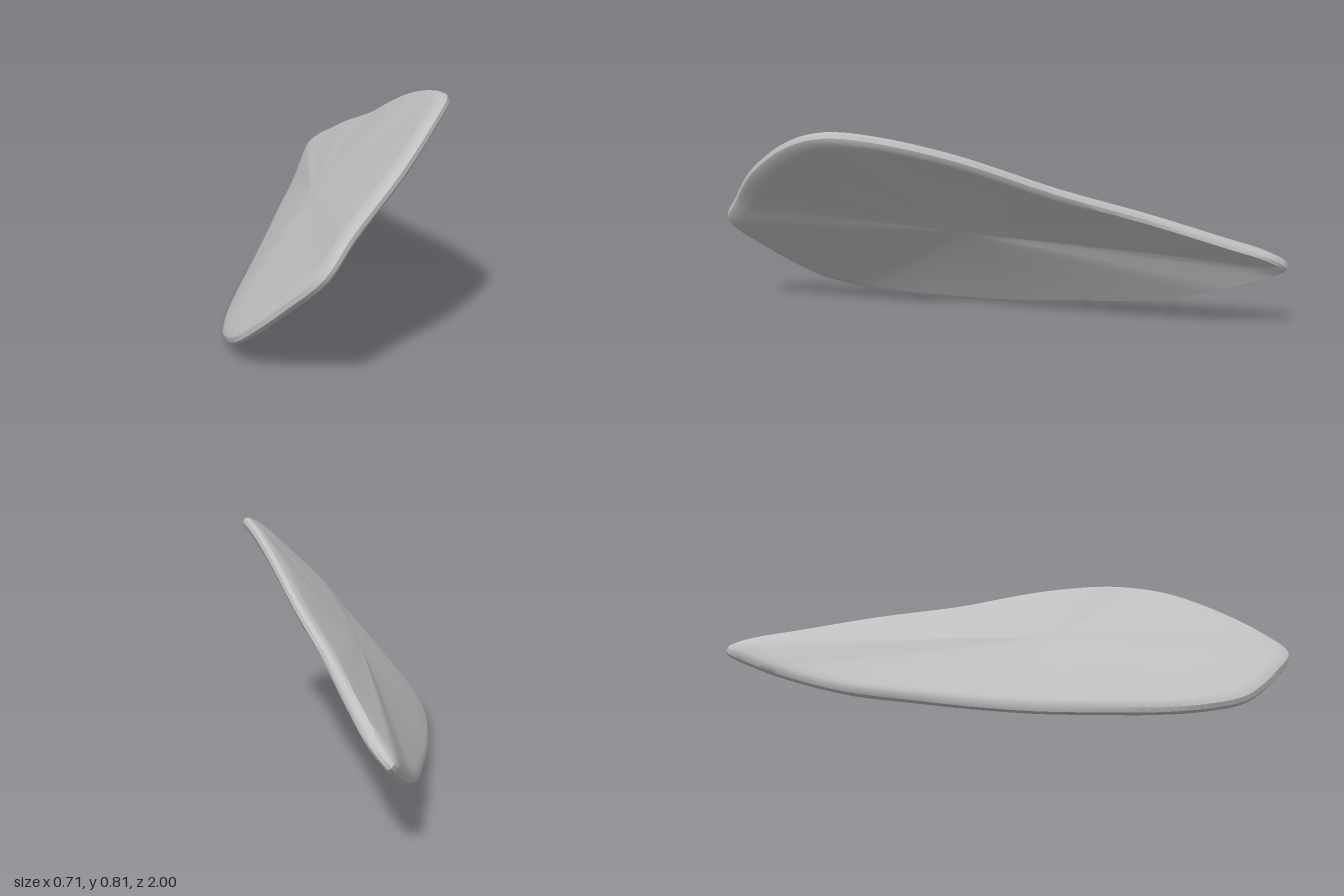
import * as THREE from 'three';
import { toCreasedNormals } from 'three/addons/utils/BufferGeometryUtils.js';

// Rim of the tilted plate, counterclockwise from above: front tip, raised side, back tip, low side
const RIM = [
  [-0.08, 0.39, 1], [0, 0.49, 0.95], [0.15, 0.64, 0.85], [0.28, 0.765, 0.7], [0.343, 0.81, 0.57],
  [0.33, 0.795, 0.42], [0.295, 0.725, 0.15], [0.24, 0.592, -0.2], [0.19, 0.492, -0.5],
  [0.147, 0.383, -0.8], [0.122, 0.33, -0.94], [0.085, 0.28, -1], [0.04, 0.22, -0.91],
  [0, 0.17, -0.8], [-0.08, 0.1, -0.6], [-0.14, 0.066, -0.4], [-0.2, 0.036, -0.2],
  [-0.257, 0.015, 0], [-0.305, 0.01, 0.2], [-0.342, 0.014, 0.4], [-0.35, 0.035, 0.55],
  [-0.322, 0.085, 0.7], [-0.265, 0.16, 0.8], [-0.185, 0.26, 0.9],
].map((p) => new THREE.Vector3(...p));

const CENTRE = new THREE.Vector3(0, 0.37, 0.15);
const NORMAL = new THREE.Vector3(-1.1, 1, -0.15).normalize();
const DOME = 0.02; // gentle rise of the middle; hollow on the underside
const HALF = 0.022; // half of the thickness
const SIDES = 96;

// Rings run from the top centre over the rounded rim to the bottom centre: [scale, inset, height]
const inner = [0, 0.2, 0.4, 0.6, 0.8, 0.92];
const RINGS = [
  ...inner.map((s) => [s, 0, 1]),
  [1, 0.028, 0.95], [1, 0.008, 0.6], [1, 0, 0], [1, 0.006, -0.6], [1, 0.024, -1],
  ...inner.slice().reverse().map((s) => [s, 0, -1]),
];

function plateGeometry() {
  const curve = new THREE.CatmullRomCurve3(RIM, true, 'centripetal');
  const rim = curve.getPoints(SIDES).slice(0, SIDES);
  const pos = [];
  const index = [];
  for (const [scale, inset, height] of RINGS) {
    for (const p of rim) {
      const s = scale * (1 - inset / p.distanceTo(CENTRE));
      const v = CENTRE.clone().lerp(p, s);
      v.addScaledVector(NORMAL, HALF * height + DOME * (1 - s * s));
      pos.push(v.x, Math.max(0, v.y), v.z);
    }
  }
  for (let i = 0; i < RINGS.length - 1; i++) {
    for (let j = 0; j < SIDES; j++) {
      const k = (j + 1) % SIDES;
      const a = i * SIDES + j, b = i * SIDES + k;
      const c = a + SIDES, d = b + SIDES;
      if (i < RINGS.length - 2) index.push(c, d, a);
      if (i > 0) index.push(a, d, b);
    }
  }
  const geo = new THREE.BufferGeometry();
  geo.setAttribute('position', new THREE.Float32BufferAttribute(pos, 3));
  geo.setIndex(index);
  return toCreasedNormals(geo, 0.6);
}

export function createModel() {
  const group = new THREE.Group();
  group.name = 'tiltedPlate';
  const grey = new THREE.MeshStandardMaterial({ color: 0xc0c0c0 });
  grey.name = 'light grey';
  const plate = new THREE.Mesh(plateGeometry(), grey);
  plate.name = 'plate';
  group.add(plate);
  return group;
}
